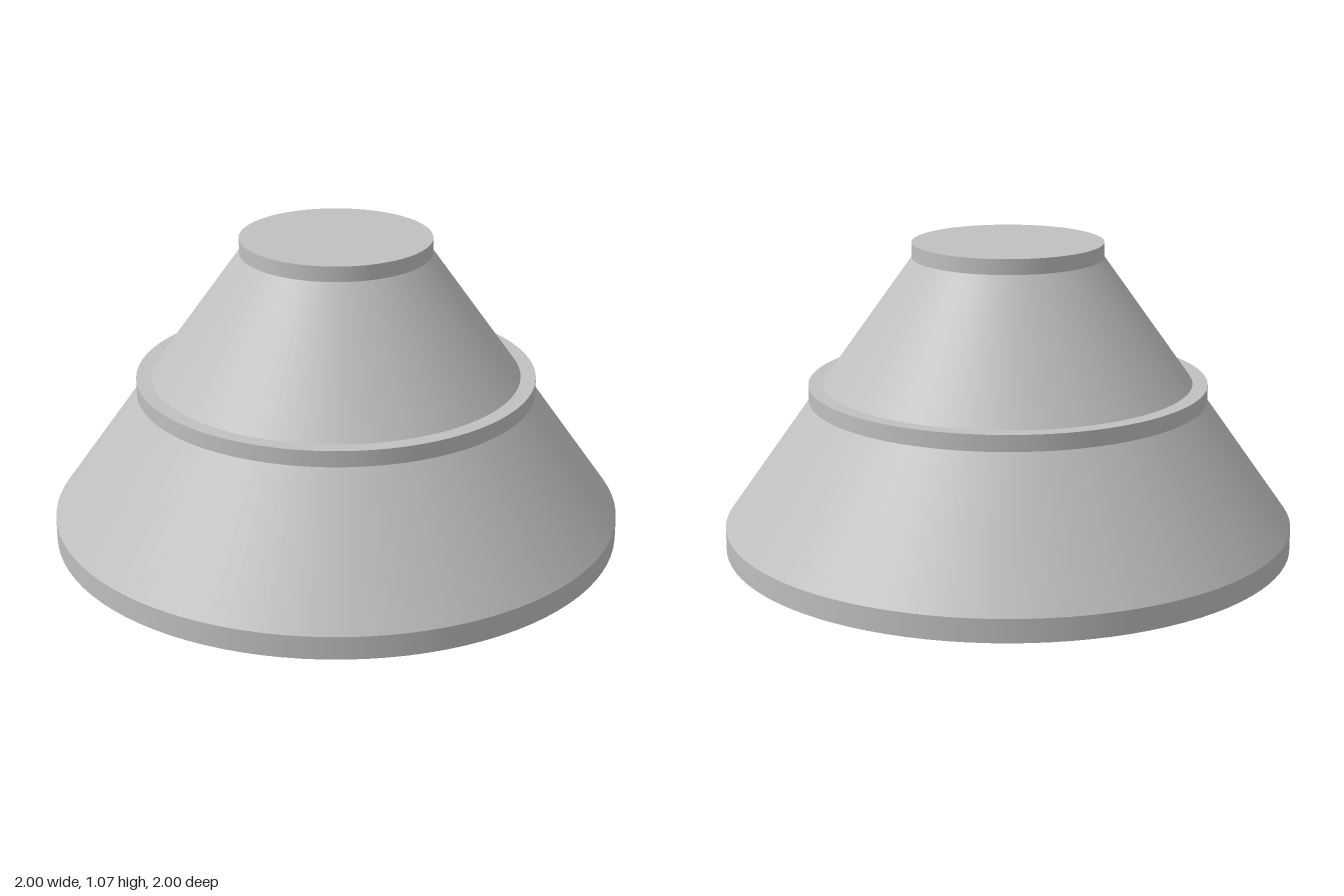
import * as THREE from 'three';

export function createModel() {
  const group = new THREE.Group();
  const grey = new THREE.MeshStandardMaterial({ color: 0xc0c0c0 });
  grey.name = 'light grey';

  // One round section of the stack, from y0 to y1
  function section(name, bottomRadius, topRadius, y0, y1, open = false) {
    const geometry = new THREE.CylinderGeometry(topRadius, bottomRadius, y1 - y0, 96, 1, open);
    const mesh = new THREE.Mesh(geometry, grey);
    mesh.name = name;
    mesh.position.y = (y0 + y1) / 2;
    group.add(mesh);
  }

  section('baseDisc', 1, 1, 0, 0.08);
  section('lowerCone', 1, 0.688, 0.08, 0.522, true);
  section('middleCollar', 0.698, 0.698, 0.522, 0.578);
  section('upperCone', 0.645, 0.332, 0.578, 1.017, true);
  section('topCap', 0.332, 0.332, 1.017, 1.07);

  return group;
}
